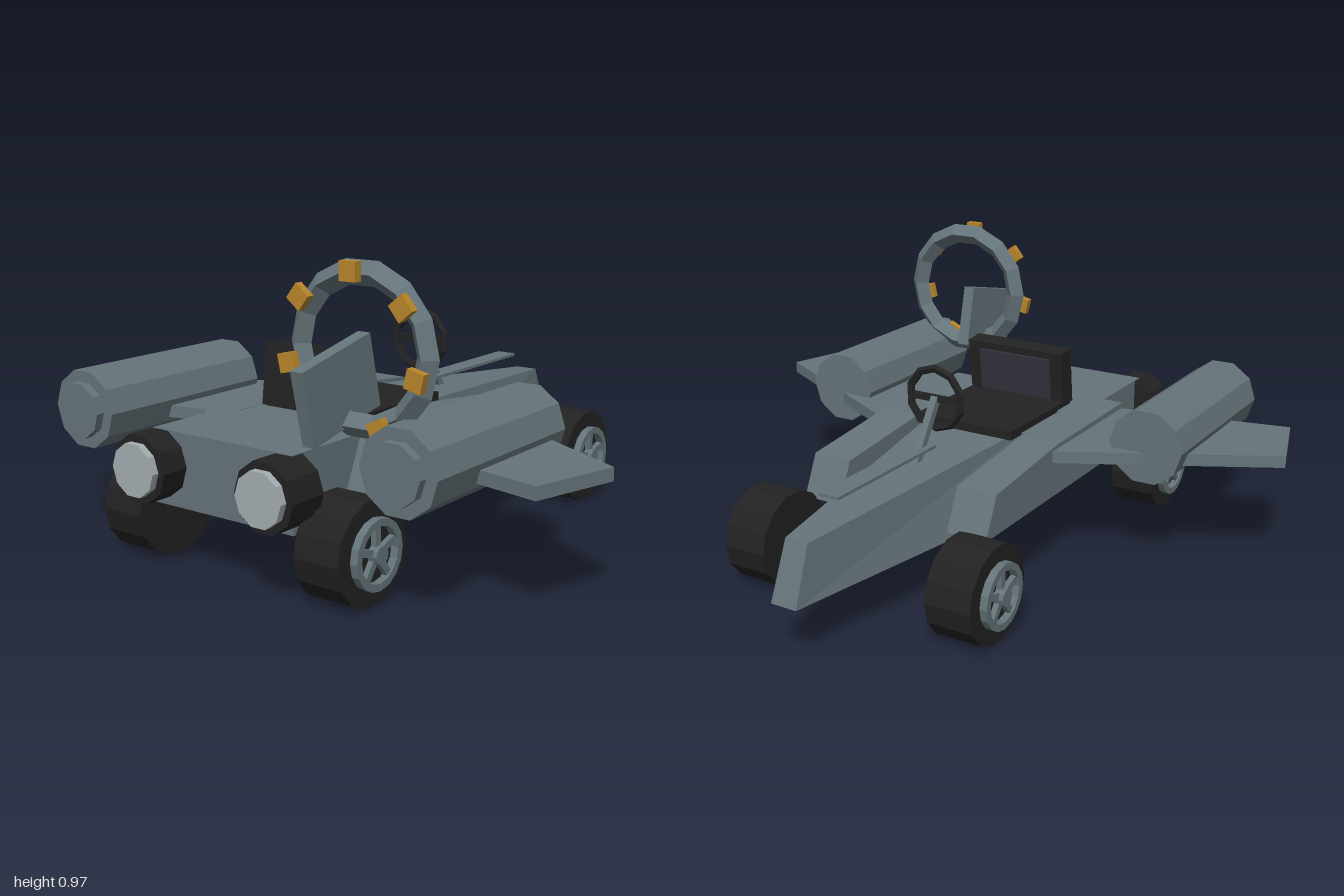
import * as THREE from 'three';

const mat = (name, color) => {
  const m = new THREE.MeshStandardMaterial({ color, flatShading: true });
  m.name = name;
  return m;
};

export function createModel() {
  const grey = mat('hull grey', 0x65747a);
  const black = mat('rubber black', 0x222222);
  const panel = mat('seat panel', 0x33333f);
  const gold = mat('gold', 0xb8862b);
  const silver = mat('exhaust silver', 0xa3adb0);

  const model = new THREE.Group();
  model.name = 'rocketKart';

  const add = (name, geo, material, x = 0, y = 0, z = 0, parent = model) => {
    const mesh = new THREE.Mesh(geo, material);
    mesh.name = name;
    mesh.position.set(x, y, z);
    parent.add(mesh);
    return mesh;
  };
  const box = (w, h, d) => new THREE.BoxGeometry(w, h, d);
  // Cylinder lying along z, with a corner pointing sideways
  const zCyl = (r, len, n) =>
    new THREE.CylinderGeometry(r, r, len, n, 1, false, Math.PI / 2).rotateX(Math.PI / 2);
  const polygon = pts => new THREE.Shape(pts.map(p => new THREE.Vector2(...p)));
  const extrude = (shape, depth, curveSegments = 12) =>
    new THREE.ExtrudeGeometry(shape, { depth, bevelEnabled: false, curveSegments });

  // Nose: a box reshaped to a tapering wedge; each corner is [half width, y, z]
  const corners = {
    frontTop: [0.04, 0.36, -0.88], frontBottom: [0.045, 0.18, -0.95],
    backTop: [0.18, 0.43, 0.13], backBottom: [0.245, 0.18, 0.2],
  };
  const nose = box(1, 1, 1);
  const p = nose.attributes.position;
  for (let i = 0; i < p.count; i++) {
    const c = corners[(p.getZ(i) < 0 ? 'front' : 'back') + (p.getY(i) > 0 ? 'Top' : 'Bottom')];
    p.setXYZ(i, Math.sign(p.getX(i)) * c[0], c[1], c[2]);
  }
  nose.computeVertexNormals();
  add('nose', nose, grey);
  add('nosePlate', box(0.07, 0.01, 0.52), grey, 0, 0.44, -0.467);

  // Rear hull and the floor under the seat
  add('rearHull', box(0.54, 0.23, 0.505), grey, 0, 0.318, 0.587);
  add('cockpitFloor', box(0.42, 0.17, 0.3), grey, 0, 0.342, 0.23);

  // Seat
  add('seatCushion', box(0.375, 0.03, 0.42), black, 0, 0.436, 0.22);
  const seatBack = new THREE.Group();
  seatBack.name = 'seatBack';
  seatBack.position.set(0, 0.535, 0.402);
  seatBack.rotation.x = -0.13;
  model.add(seatBack);
  add('seatBackFrame', box(0.375, 0.2, 0.068), black, 0, 0, 0, seatBack);
  add('seatBackPanel', box(0.28, 0.15, 0.01), panel, 0, 0, -0.038, seatBack);

  // Steering wheel and column
  add('steeringWheel', new THREE.TorusGeometry(0.1, 0.014, 5, 10), black, 0, 0.582, -0.155)
    .rotation.z = Math.PI / 10;
  add('steeringBar', box(0.19, 0.022, 0.014), black, 0, 0.582, -0.155);
  const column = add('steeringColumn', box(0.025, 0.23, 0.025), grey, 0, 0.488, -0.215);
  column.rotation.x = 0.57;

  // Wheel with its outer side towards +x
  const makeWheel = (name, x, z) => {
    const wheel = new THREE.Group();
    wheel.name = name;
    wheel.position.set(x, 0.158, z);
    if (x < 0) wheel.rotation.y = Math.PI;
    model.add(wheel);
    const tire = new THREE.CylinderGeometry(0.158, 0.158, 0.155, 14).rotateZ(Math.PI / 2);
    add('tire', tire, black, 0, 0, 0, wheel);
    const ring = new THREE.Shape().absarc(0, 0, 0.105, 0, Math.PI * 2);
    ring.holes.push(new THREE.Path().absarc(0, 0, 0.083, 0, Math.PI * 2, true));
    add('rim', extrude(ring, 0.025, 8).rotateY(Math.PI / 2), grey, 0.077, 0, 0, wheel);
    const hub = new THREE.CylinderGeometry(0.028, 0.028, 0.035, 10).rotateZ(Math.PI / 2);
    add('hub', hub, grey, 0.092, 0, 0, wheel);
    for (let i = 0; i < 5; i++) {
      const spoke = box(0.018, 0.085, 0.022).translate(0, 0.047, 0);
      add('spoke', spoke, grey, 0.086, 0, 0, wheel).rotation.x = i * Math.PI * 2 / 5;
    }
  };

  for (const s of [1, -1]) {
    const side = s > 0 ? 'left' : 'right';

    // Side beam, profile in z and y
    const beam = polygon([[-0.41, 0.255], [0.61, 0.255], [0.53, 0.435], [0.05, 0.43], [-0.35, 0.388]]);
    add(side + 'Beam', extrude(beam, 0.14).rotateY(-Math.PI / 2), grey, s > 0 ? 0.345 : -0.205);

    // Wing, outline in x and z
    const wing = polygon([[s * 0.25, -0.045], [s, 0.365], [s * 0.92, 0.645], [s * 0.25, 0.505]]);
    add(side + 'Wing', extrude(wing, 0.04).rotateX(Math.PI / 2), grey, 0, 0.415);

    // Wing pod with a short rear cap
    add(side + 'Pod', zCyl(0.127, 0.665, 10), grey, s * 0.605, 0.435, 0.48);
    add(side + 'PodCap', zCyl(0.09, 0.03, 10), grey, s * 0.605, 0.435, 0.825);

    // Rear exhaust
    add(side + 'Exhaust', zCyl(0.106, 0.13, 10), black, s * 0.242, 0.33, 0.865);
    add(side + 'ExhaustDisc', zCyl(0.083, 0.024, 10), silver, s * 0.242, 0.33, 0.941);

    makeWheel(side + 'FrontWheel', s * 0.378, -0.525);
    makeWheel(side + 'RearWheel', s * 0.378, 0.72);
  }

  // Tilted fin carrying the ring
  add('ringFin', box(0.042, 0.22, 0.3), grey, 0.347, 0.612, 0.738).rotation.x = 0.22;

  // Ring with seven gold blocks behind it
  const ringGroup = new THREE.Group();
  ringGroup.name = 'ring';
  ringGroup.position.set(0.413, 0.722, 0.708);
  model.add(ringGroup);
  add('ringBody', new THREE.TorusGeometry(0.215, 0.036, 4, 14), grey, 0, 0, 0, ringGroup);
  for (let i = 0; i < 7; i++) {
    const a = Math.PI / 2 + i * Math.PI * 2 / 7;
    const block = add('ringBlock', box(0.055, 0.055, 0.025), gold,
      0.22 * Math.cos(a), 0.22 * Math.sin(a), 0.055, ringGroup);
    block.rotation.z = a;
  }

  return model;
}
